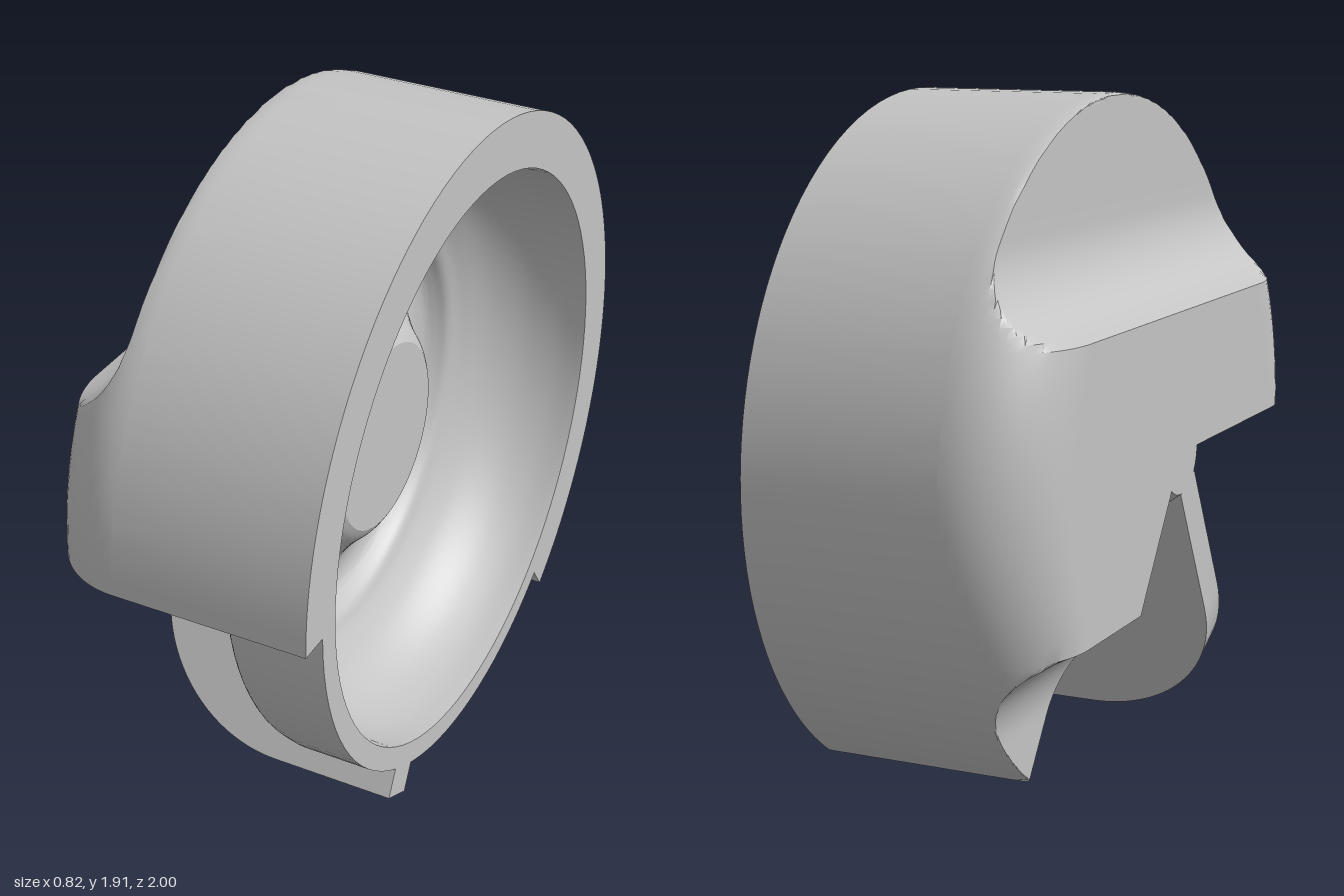
import * as THREE from 'three';
import { mergeGeometries, toCreasedNormals } from 'three/addons/utils/BufferGeometryUtils.js';

const CENTRE_Y = 0.915, END_X = -0.41, RIM_X = 0.41;
const ROUND = 0.25;                              // rounded outer corner of the housing
const END_ANGLE = Math.PI + Math.atan2(0.815, 0.58); // housing sweep, from +z over the top
const RIB_ANGLE = Math.atan2(-0.885, 0.46);

// Surface from a rule f(u, v) -> [x, y, z], u and v in 0..1
function grid(nu, nv, f) {
  const pos = [], index = [];
  for (let i = 0; i <= nu; i++)
    for (let j = 0; j <= nv; j++) pos.push(...f(i / nu, j / nv));
  for (let i = 0; i < nu; i++)
    for (let j = 0; j < nv; j++) {
      const a = i * (nv + 1) + j, b = a + nv + 1;
      index.push(a, b, a + 1, b, b + 1, a + 1);
    }
  const g = new THREE.BufferGeometry();
  g.setAttribute('position', new THREE.Float32BufferAttribute(pos, 3));
  g.setIndex(index);
  return g;
}

// Smooth list of (radius, x) points
const smooth = (pts, n) =>
  new THREE.SplineCurve(pts.map(p => new THREE.Vector2(...p))).getPoints(n);

// Back of the bowl, flaring from the small end to the rim
const bowlBack = smooth([[0.12, END_X], [0.25, -0.25], [0.46, -0.1], [0.68, 0],
  [0.83, 0.08], [0.89, 0.14], [0.91, 0.21]], 40);

// Cavity: curved wall, small step, trough and raised centre boss
const cavity = smooth([[0.84, RIM_X], [0.832, 0.32], [0.8, 0.22], [0.74, 0.135], [0.66, 0.075],
  [0.61, 0.05], [0.585, 0.02], [0.555, -0.005], [0.5, -0.01], [0.44, 0.01],
  [0.36, 0.07], [0.31, 0.12], [0.28, 0.14]], 60);

function bowlX(r) {
  if (r > 0.9) return RIM_X;
  for (let i = 1; i < bowlBack.length; i++) {
    const a = bowlBack[i - 1], b = bowlBack[i];
    if (r <= b.x) return a.y + (b.y - a.y) * Math.max(0, (r - a.x) / (b.x - a.x));
  }
  return RIM_X;
}

// Housing end: flat, rounded at the outside, relieved above and below by a filleted step
function housingX(y, z) {
  const r = Math.min(1, Math.hypot(y, z)), ay = Math.abs(y);
  const d = Math.max(0, r - (1 - ROUND));
  const corner = END_X + ROUND - Math.sqrt(Math.max(0, ROUND * ROUND - d * d));
  const k = Math.max(0, 0.655 - ay);
  const step = ay < 0.402 ? END_X : -0.47 + Math.sqrt(Math.max(0, 0.0676 - k * k));
  return Math.max(corner, step);
}

// Row heights: even to the step, fine over the fillet, then by angle to the limit
function rowHeights(limit) {
  const rows = [];
  for (let i = 0; i < 8; i++) rows.push(0.402 * i / 8);
  for (let i = 0; i < 12; i++) rows.push(0.402 + 0.253 * i / 12);
  const a = Math.asin(0.655), b = Math.asin(limit);
  for (let i = 0; i <= 14; i++) rows.push(Math.sin(a + (b - a) * i / 14));
  return rows;
}

function housingGeometry() {
  const up = rowHeights(1), down = rowHeights(-Math.sin(END_ANGLE));
  const n = up.length - 1;
  const slope = Math.cos(END_ANGLE) / Math.sin(END_ANGLE);
  const upperEnd = grid(n, 64, (u, v) => {
    const y = up[Math.round(u * n)];
    const z = Math.sqrt(Math.max(0, 1 - y * y)) * Math.cos(v * Math.PI);
    return [housingX(y, z), y, z];
  });
  const lowerEnd = grid(n, 32, (u, v) => {
    const y = -down[Math.round((1 - u) * n)];
    const edge = y * slope, far = -Math.sqrt(1 - y * y);
    const z = edge + (far - edge) * Math.sin(v * Math.PI / 2);
    return [housingX(y, z), y, z];
  });

  // Outer wall and rim follow the same rows
  const angles = [...up.map(y => Math.asin(y)),
    ...up.slice(0, -1).reverse().map(y => Math.PI - Math.asin(y)),
    ...down.slice(1).map(y => Math.PI + Math.asin(y))];
  const m = angles.length - 1;
  const around = (u, r, x) => {
    const t = angles[Math.round(u * m)];
    return [x, r * Math.sin(t), r * Math.cos(t)];
  };
  const wall = grid(m, 4, (u, v) => around(u, 1, RIM_X + (END_X + ROUND - RIM_X) * v));
  const rim = grid(m, 1, (u, v) => around(u, 0.88 + 0.12 * v, RIM_X));

  // Flat walls closing the two ends of the sweep
  const cap = (t, flip) => grid(80, 1, (u, v) => {
    const r = 0.1 + 0.9 * Math.sin(u * Math.PI / 2);
    const y = r * Math.sin(t), z = r * Math.cos(t);
    const inner = Math.min(RIM_X, bowlX(r) + 0.02);
    return [(flip ? v < 0.5 : v > 0.5) ? housingX(y, z) : inner, y, z];
  });
  const merged = mergeGeometries([upperEnd, lowerEnd, wall, rim, cap(0, false), cap(END_ANGLE, true)]);
  return toCreasedNormals(merged, 0.5);
}

function bowlGeometry() {
  const pts = [new THREE.Vector2(0, END_X), ...bowlBack, new THREE.Vector2(0.91, RIM_X),
    ...cavity, new THREE.Vector2(0, 0.14)];
  const g = new THREE.LatheGeometry(pts, 96);
  g.rotateZ(-Math.PI / 2);
  return toCreasedNormals(g, 0.5);
}

// Fin between the bowl and the outer radius, drawn as (x, radius)
function ribGeometry() {
  const s = new THREE.Shape();
  s.moveTo(END_X, 0.08);
  s.lineTo(RIM_X, 0.88);
  s.lineTo(RIM_X, 0.997);
  s.lineTo(0.04, 0.997);
  s.bezierCurveTo(-0.2, 0.997, END_X, 0.8, END_X, 0.54);
  s.closePath();
  // keep the inner edge buried in the bowl wall
  const pts = s.getPoints(24).filter((p, i) => i > 1);
  const inner = bowlBack.map(p => new THREE.Vector2(Math.min(RIM_X, p.y + 0.02), p.x - 0.01));
  const outline = new THREE.Shape([...inner, new THREE.Vector2(RIM_X, 0.88), new THREE.Vector2(RIM_X, 0.997),
    ...pts.slice(1, -1), new THREE.Vector2(END_X, 0.54), new THREE.Vector2(END_X, 0.11)]);
  const g = new THREE.ExtrudeGeometry(outline, { depth: 0.115, bevelEnabled: false });
  g.translate(0, 0, -0.0575);
  g.rotateX(Math.PI / 2 - RIB_ANGLE); // turns +y towards the rib direction
  return toCreasedNormals(g, 0.5);
}

export function createModel() {
  const grey = new THREE.MeshStandardMaterial({ color: 0xc4c4c4, side: THREE.DoubleSide });
  grey.name = 'plain grey';
  const group = new THREE.Group();
  group.name = 'cupHousing';
  const add = (name, geometry) => {
    const mesh = new THREE.Mesh(geometry, grey);
    mesh.name = name;
    mesh.position.y = CENTRE_Y;
    group.add(mesh);
  };
  add('outerHousing', housingGeometry());
  add('bowl', bowlGeometry());
  add('rib', ribGeometry());
  return group;
}
